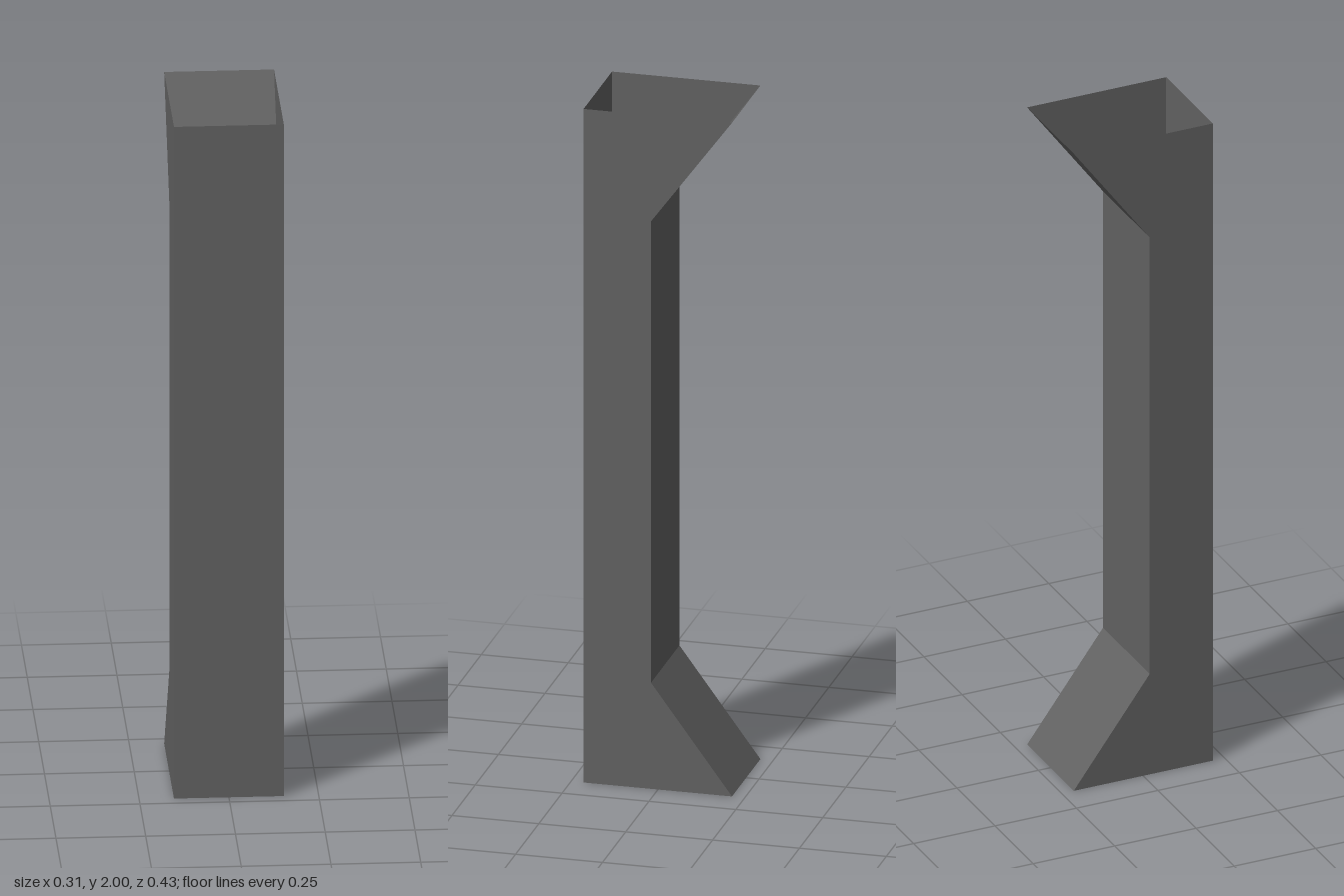
import * as THREE from 'three';

const HALF_WIDTH = 0.153;
const FRONT = 0.214;

// Back edge of the duct as [z, y], from the foot to the top
const BACK = [[-0.213, 0], [0.02, 0.315], [0.02, 1.685], [-0.213, 2]];

export function createModel() {
  const group = new THREE.Group();
  const grey = new THREE.MeshStandardMaterial({ color: 0x626262, side: THREE.DoubleSide });
  grey.name = 'dark grey sheet';

  function add(name, geometry) {
    const mesh = new THREE.Mesh(geometry, grey);
    mesh.name = name;
    group.add(mesh);
    return mesh;
  }

  // Flat panel spanning the width between two [z, y] points, facing left of the path
  function panel(name, [z0, y0], [z1, y1]) {
    const w = HALF_WIDTH;
    const geometry = new THREE.BufferGeometry();
    geometry.setAttribute('position', new THREE.Float32BufferAttribute(
      [-w, y0, z0, w, y0, z0, w, y1, z1, -w, y1, z1], 3));
    geometry.setIndex([0, 2, 1, 0, 3, 2]);
    geometry.computeVertexNormals();
    add(name, geometry);
  }

  // Back: flared foot, upright wall, flared top
  ['lowerBackSlope', 'backWall', 'upperBackSlope'].forEach((name, i) =>
    panel(name, BACK[i], BACK[i + 1]));

  // Front wall, wound from the top down so that it faces forward
  panel('frontWall', [FRONT, 2], [FRONT, 0]);

  // Side walls cut to the flared profile; both ends of the duct stay open
  for (const side of [1, -1]) {
    const outline = [[FRONT, 0], ...BACK, [FRONT, 2]]
      .map(([z, y]) => new THREE.Vector2(-side * z, y));
    const wall = add(side > 0 ? 'leftWall' : 'rightWall',
      new THREE.ShapeGeometry(new THREE.Shape(outline)));
    wall.rotation.y = side * Math.PI / 2;
    wall.position.x = side * HALF_WIDTH;
  }

  return group;
}
